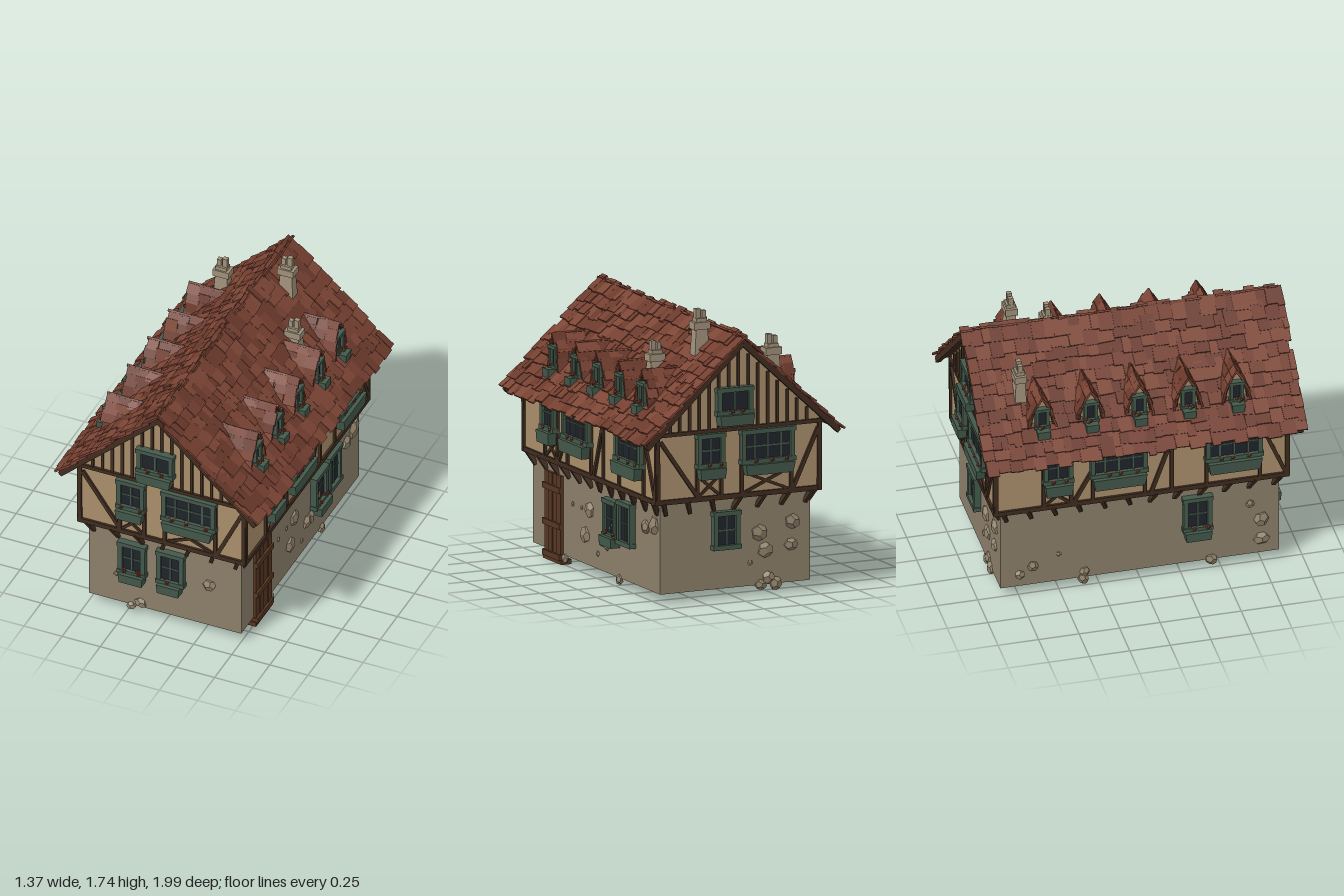
import * as THREE from 'three';
import { mergeGeometries } from 'three/addons/utils/BufferGeometryUtils.js';

const mat = (color, side = THREE.FrontSide) => new THREE.MeshStandardMaterial({ color, side, flatShading: true });
const M = {
  plaster: mat(0xaa8f6b, THREE.DoubleSide), render: mat(0x8c7f6a, THREE.DoubleSide),
  timber: mat(0x3f2c1f), green: mat(0x43594b), glass: mat(0x1f242b, THREE.DoubleSide),
  door: mat(0x573722), stone: mat(0x93846d), chimney: mat(0xa0917a),
  red: mat(0x8c2a20), leaf: mat(0x4b5a2c), slab: mat(0x4c2a20),
  tiles: [mat(0x743f30), mat(0x6a392b), mat(0x7d4636)],
};
const ANG = Math.atan2(0.6, 0.65), RIDGE = 1.6;
let seed = 7;
const rnd = (a = 0, b = 1) => {
  seed = (seed * 16807) % 2147483647;
  return a + (b - a) * seed / 2147483647;
};

function add(parent, name, geo, material, x = 0, y = 0, z = 0) {
  const m = new THREE.Mesh(geo, material);
  m.name = name;
  m.position.set(x, y, z);
  parent.add(m);
  return m;
}
const box = (p, name, material, w, h, d, x, y, z) => add(p, name, new THREE.BoxGeometry(w, h, d), material, x, y, z);

// four-sided block with a different size at the bottom
function taper(p, name, material, w, h, d, ratio, x, y, z) {
  const g = new THREE.CylinderGeometry(Math.SQRT1_2, Math.SQRT1_2 * ratio, 1, 4).rotateY(Math.PI / 4).scale(w, h, d);
  return add(p, name, g, material, x, y, z);
}

// timber between two points of a wall
function beam(p, x1, y1, x2, y2, z, w = 0.024, d = 0.03) {
  const m = box(p, 'timber', M.timber, w, Math.hypot(x2 - x1, y2 - y1), d, (x1 + x2) / 2, (y1 + y2) / 2, z);
  m.rotation.z = -Math.atan2(x2 - x1, y2 - y1);
  return m;
}

function flatShape(p, name, material, points, z) {
  const s = new THREE.Shape(points.map(q => new THREE.Vector2(...q)));
  return add(p, name, new THREE.ShapeGeometry(s), material, 0, 0, z);
}

// framed window: glass, frame and glazing bars
function windowUnit(p, x, y, w, h, z, cols = 2, rows = 2, f = 0.028) {
  const g = new THREE.Group();
  g.name = 'window';
  g.position.set(x, y, z);
  p.add(g);
  box(g, 'glass', M.glass, w - f, h - f, 0.012, 0, 0, 0.004);
  for (const s of [-1, 1]) {
    box(g, 'frameSide', M.green, f, h, 0.04, s * (w - f) / 2, 0, 0.008);
    box(g, 'frameRail', M.green, w + 0.012, f, 0.05, 0, s * (h - f) / 2, 0.008);
  }
  for (let i = 1; i < cols; i++) box(g, 'bar', M.green, 0.011, h - f, 0.02, -w / 2 + w * i / cols, 0, 0.006);
  for (let i = 1; i < rows; i++) box(g, 'bar', M.green, w - f, 0.009, 0.018, 0, -h / 2 + h * i / rows, 0.006);
}

// flower box with a few blooms
function planter(p, x, top, w, z, h = 0.065, d = 0.07) {
  taper(p, 'planter', M.green, w, h, d, 0.92, x, top - h / 2, z + d / 2);
  const n = Math.max(1, Math.round(w / 0.1));
  for (let i = 0; i < n; i++) {
    const fx = x + ((i + rnd(0.2, 0.8)) / n - 0.5) * w * 0.9;
    add(p, 'leaves', new THREE.IcosahedronGeometry(0.016, 0), M.leaf, fx, top + 0.004, z + d * 0.5);
    for (const k of [-1, 1])
      add(p, 'flower', new THREE.IcosahedronGeometry(0.012, 0), M.red, fx + k * 0.012, top + 0.02, z + d * (0.55 + k * 0.12));
  }
}

// stones showing through the render: [u, y, radius]
function stones(p, z, list) {
  for (const [u, y, r] of list) {
    const m = add(p, 'stone', new THREE.DodecahedronGeometry(r, 0), M.stone, u, y, z);
    m.scale.set(rnd(0.9, 1.1), rnd(0.75, 0.95), Math.min(0.6, 0.028 / r));
    m.rotation.z = rnd(0, 3);
  }
}

// group whose local +z looks out of a wall
function facing(root, name, angle) {
  const g = new THREE.Group();
  g.name = name;
  g.rotation.y = angle;
  root.add(g);
  return g;
}

// sill, corbels, posts and top rail shared by every upper wall
function upperFrame(p, half, z, corbels) {
  box(p, 'sillBeam', M.timber, half * 2 + 0.02, 0.03, 0.065, 0, 0.63, z - 0.018);
  box(p, 'topBeam', M.timber, half * 2 + 0.02, 0.024, 0.03, 0, 1.04, z);
  for (const s of [-1, 1]) beam(p, s * (half - 0.004), 0.62, s * half, 1.05, z);
  for (let i = 0; i < corbels; i++) {
    const u = (i / (corbels - 1) - 0.5) * 2 * (half - 0.06);
    const c = box(p, 'corbel', M.timber, 0.024, 0.1, 0.03, u, 0.585, z - 0.02);
    c.rotation.set(0.5, 0, u < 0 ? 0.35 : -0.35);
  }
}
function crossBrace(p, a, b, y1, y2, z) {
  beam(p, a, y1, b, y2, z, 0.018, 0.02);
  beam(p, a, y2, b, y1, z, 0.018, 0.024);
}

function gableWall(p) {
  const z = 0.9;
  flatShape(p, 'gablePlaster', M.plaster, [[-0.54, 0.62], [0.54, 0.62], [0.54, 1.07], [0, 1.57], [-0.54, 1.07]], z);
  upperFrame(p, 0.54, z, 7);
  beam(p, -0.52, 1, -0.27, 0.64, z);
  beam(p, 0.36, 0.64, 0.53, 1, z);
  for (const u of [-0.275, -0.115, 0.02, 0.35]) beam(p, u, 0.64, u, 1.04, z, 0.022);
  crossBrace(p, -0.27, -0.12, 0.64, 0.77, z);
  crossBrace(p, 0.03, 0.34, 0.64, 0.77, z);
  windowUnit(p, -0.195, 0.925, 0.18, 0.21, z + 0.012);
  planter(p, -0.195, 0.82, 0.175, z);
  windowUnit(p, 0.185, 0.925, 0.35, 0.21, z + 0.012, 4);
  planter(p, 0.185, 0.82, 0.33, z);
  // gable studs, cut short above and below the attic window
  for (let i = -7; i <= 7; i++) {
    const u = i * 0.065, top = 1.55 - 0.92 * Math.abs(u);
    const behind = u > -0.15 && u < 0.08;
    beam(p, u, behind ? 1.29 : 1.04, u, top, z, 0.018, 0.02);
    if (behind) beam(p, u, 1.04, u, 1.14, z, 0.018, 0.02);
  }
  windowUnit(p, -0.035, 1.215, 0.235, 0.17, z + 0.012, 2, 1);
  planter(p, -0.035, 1.135, 0.23, z);
  for (const s of [-1, 1]) beam(p, 0, 1.57, s * 0.64, 1.57 - 0.64 * 0.923, z + 0.06, 0.03, 0.03);
}

function longWall(p) {
  const z = 0.54;
  flatShape(p, 'sidePlaster', M.plaster, [[-0.9, 0.62], [0.9, 0.62], [0.9, 1.09], [-0.9, 1.09]], z);
  upperFrame(p, 0.9, z, 12);
  for (const u of [-0.605, -0.435, -0.3, 0.02, 0.185, 0.4, 0.73]) beam(p, u, 0.64, u, 1.04, z, 0.022);
  beam(p, -0.42, 0.64, -0.3, 0.86, z);
  beam(p, 0.06, 0.64, 0.18, 0.98, z);
  beam(p, 0.74, 1, 0.89, 0.64, z);
  crossBrace(p, -0.6, -0.44, 0.64, 0.77, z);
  for (const [u, w, cols] of [[-0.52, 0.18, 2], [-0.145, 0.35, 4], [0.565, 0.35, 4]]) {
    windowUnit(p, u, 0.92, w, 0.22, z + 0.012, cols);
    planter(p, u, 0.81, w * 0.95, z, 0.075);
  }
}

function dormer(p, u) {
  const g = new THREE.Group();
  g.name = 'dormer';
  g.position.x = u;
  p.add(g);
  // pointed arch body running back into the roof
  const s = new THREE.Shape();
  s.moveTo(-0.07, 1.13);
  s.lineTo(0.07, 1.13);
  s.quadraticCurveTo(0.065, 1.28, 0, 1.365);
  s.quadraticCurveTo(-0.065, 1.28, -0.07, 1.13);
  add(g, 'dormerBody', new THREE.ExtrudeGeometry(s, { depth: 0.25, bevelEnabled: false, curveSegments: 5 }), M.plaster, 0, 0, 0.22);
  windowUnit(g, 0, 1.24, 0.085, 0.14, 0.475, 1, 1, 0.02);
  planter(g, 0, 1.175, 0.08, 0.47, 0.055, 0.08);
  for (const k of [-1, 1]) {
    const arch = new THREE.QuadraticBezierCurve(new THREE.Vector2(k * 0.082, 1.17), new THREE.Vector2(k * 0.068, 1.3), new THREE.Vector2(0, 1.38));
    for (let i = 0; i < 4; i++) {
      const a = arch.getPoint(i / 4), b = arch.getPoint((i + 1) / 4);
      beam(g, a.x * 0.9, a.y - 0.006, b.x * 0.9, b.y - 0.006, 0.475, 0.013, 0.02);
      for (let j = 0; j < 4; j++) {
        const t = beam(g, a.x * 1.06, a.y - 0.012, b.x, b.y + 0.008, 0.245 + j * 0.07 + rnd(-0.01, 0.01), 0.013, rnd(0.07, 0.09));
        t.name = 'dormerTile';
        t.material = M.tiles[Math.floor(rnd(0, 3))];
        t.rotation.z += k * rnd(0, 0.2);
      }
    }
  }
}

function roof(root) {
  const shades = [[], [], []];
  for (const s of [-1, 1]) {
    const slab = box(root, 'roofSlab', M.slab, 0.87, 0.018, 1.95, s * 0.435 * Math.cos(ANG), RIDGE - 0.435 * Math.sin(ANG) - 0.012, 0);
    slab.rotation.z = -s * ANG;
    // overlapping rows of uneven tiles
    for (let row = 0; row < 11; row++) {
      let z = -0.99 + rnd(0, 0.015);
      while (z < 0.97) {
        const w = Math.min(rnd(0.04, 0.1), 0.998 - z);
        const d = 0.04 + row * 0.08 + rnd(-0.018, 0.012), n = rnd(0.004, 0.014);
        const g = new THREE.BoxGeometry(0.125, 0.013, w).rotateY(rnd(-0.05, 0.05)).rotateZ(-s * (ANG - rnd(0.06, 0.13)));
        g.translate(s * (d * Math.cos(ANG) + n * Math.sin(ANG)), RIDGE - d * Math.sin(ANG) + n * Math.cos(ANG), z + w / 2);
        shades[Math.floor(rnd(0, 3))].push(g);
        z += w * 0.98;
      }
    }
  }
  shades.forEach((list, i) => add(root, 'roofTiles', mergeGeometries(list), M.tiles[i]));
}

// tapered stack, cap and two flues
function chimney(root, x, z, base, cap) {
  taper(root, 'chimneyStack', M.chimney, 0.075, cap - base, 0.055, 1.35, x, (cap + base) / 2, z);
  box(root, 'chimneyCap', M.chimney, 0.105, 0.045, 0.075, x, cap, z);
  box(root, 'chimneyNeck', M.chimney, 0.07, 0.03, 0.055, x, cap + 0.03, z);
  box(root, 'flue', M.chimney, 0.026, 0.07, 0.03, x - 0.02, cap + 0.055, z);
  box(root, 'flue', M.chimney, 0.03, 0.085, 0.03, x + 0.018, cap + 0.06, z);
}

export function createModel() {
  const root = new THREE.Group();
  root.name = 'timberHouse';
  const front = facing(root, 'front', 0), back = facing(root, 'back', Math.PI);
  const left = facing(root, 'leftSide', Math.PI / 2), right = facing(root, 'rightSide', -Math.PI / 2);

  for (const p of [front, back]) {
    gableWall(p);
    flatShape(p, 'lowerWall', M.render, [[-0.5, 0.06], [0.5, 0.06], [0.5, 0.63], [-0.5, 0.63]], 0.86);
  }
  for (const p of [left, right]) {
    longWall(p);
    flatShape(p, 'lowerWall', M.render, [[-0.86, 0.06], [0.86, 0.06], [0.86, 0.63], [-0.86, 0.63]], 0.5);
    for (let i = -2; i <= 2; i++) dormer(p, i * 0.3);
  }

  // ground floor windows
  windowUnit(front, -0.205, 0.42, 0.175, 0.23, 0.872);
  planter(front, -0.2, 0.315, 0.16, 0.86, 0.06);
  windowUnit(front, 0.047, 0.425, 0.175, 0.235, 0.872);
  planter(front, 0.045, 0.31, 0.15, 0.86, 0.06);
  windowUnit(back, -0.07, 0.42, 0.175, 0.235, 0.872);
  windowUnit(left, 0.24, 0.41, 0.175, 0.235, 0.512);
  planter(left, 0.245, 0.305, 0.165, 0.5, 0.06);
  windowUnit(left, 0.437, 0.415, 0.18, 0.27, 0.512);
  windowUnit(right, 0.35, 0.42, 0.175, 0.24, 0.512);
  planter(right, 0.35, 0.305, 0.165, 0.5, 0.06);

  // plank door with cross battens
  for (let i = 0; i < 4; i++) box(left, 'doorPlank', M.door, 0.055, 0.52, 0.03, -0.652 + i * 0.0575, 0.28, 0.5 + (i % 2) * 0.004);
  for (const y of [0.04, 0.23, 0.45]) box(left, 'doorBatten', M.door, 0.235, 0.035, 0.05, -0.566, y, 0.505);
  box(left, 'doorStep', M.door, 0.25, 0.03, 0.07, -0.565, 0.015, 0.485);

  stones(front, 0.86, [[0.29, 0.36, 0.048], [-0.32, 0.26, 0.02], [-0.16, 0.09, 0.04], [-0.22, 0.05, 0.035]]);
  stones(left, 0.5, [[-0.09, 0.4, 0.058], [-0.15, 0.24, 0.06], [-0.32, 0.395, 0.018], [-0.2, 0.395, 0.016], [0.09, 0.25, 0.05],
    [0.14, 0.24, 0.05], [0.02, 0.155, 0.02], [0.67, 0.44, 0.05], [0.78, 0.47, 0.062], [0.31, 0.05, 0.035], [-0.43, 0.04, 0.032], [0.235, 0.36, 0.05]]);
  stones(back, 0.86, [[0.16, 0.38, 0.055], [0.2, 0.27, 0.058], [0.37, 0.29, 0.05], [0.38, 0.43, 0.05], [0.1, 0.2, 0.02],
    [0.22, 0.1, 0.045], [0.27, 0.06, 0.045], [0.17, 0.06, 0.04]]);
  stones(right, 0.5, [[-0.66, 0.19, 0.04], [-0.74, 0.14, 0.035], [-0.34, 0.1, 0.04], [-0.35, 0.05, 0.04], [-0.5, 0.25, 0.02],
    [0.44, 0.06, 0.045], [0.75, 0.16, 0.055], [0.75, 0.3, 0.058], [0.68, 0.42, 0.03]]);

  roof(root);
  chimney(root, 0.13, -0.645, 1.42, 1.635);
  chimney(root, -0.32, -0.7, 1.25, 1.45);
  chimney(root, 0.295, -0.375, 1.27, 1.405);
  return root;
}
